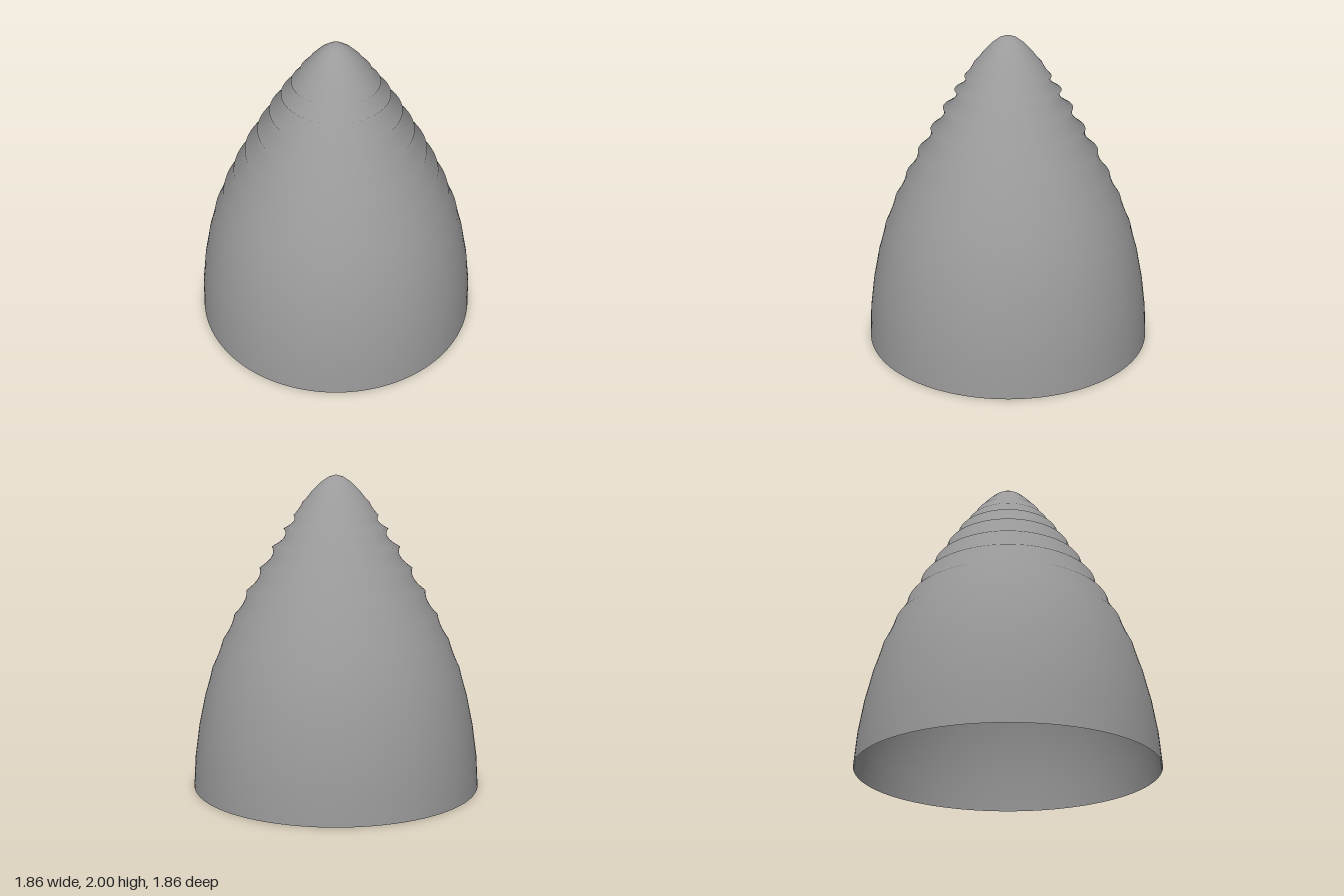
import * as THREE from 'three';

// Dome rings from the open rim to the tip: radius, height, and the twist in
// degrees of the band above the ring (twist pinches the band into a waist)
const RINGS = [
  [0.93, 0, 0], [0.918, 0.2, 2], [0.89, 0.4, 4], [0.85, 0.59, 8],
  [0.8, 0.77, 14], [0.73, 0.95, 21], [0.655, 1.11, 30], [0.575, 1.265, 39],
  [0.49, 1.41, 46], [0.41, 1.545, 54], [0.335, 1.66, 52], [0.272, 1.745, 27],
  [0.215, 1.825, 20], [0.155, 1.895, 8], [0.1, 1.95, 0], [0.05, 1.985, 0], [0, 2, 0],
];
const STEPS = 10;
const SEGMENTS = 128;

// Outward normal of the smooth dome at a ring, in the profile plane
function ringNormal(i) {
  if (i === RINGS.length - 1) return new THREE.Vector2(0, 1);
  const a = RINGS[Math.max(i - 1, 0)];
  const b = RINGS[i + 1];
  return new THREE.Vector2(b[1] - a[1], a[0] - b[0]).normalize();
}

function createShell() {
  const points = [];
  const normals = [];
  for (let i = 0; i < RINGS.length - 1; i++) {
    const [r0, y0, twist] = RINGS[i];
    const [r1, y1] = RINGS[i + 1];
    const c = Math.cos(THREE.MathUtils.degToRad(twist));
    const last = i === RINGS.length - 2;
    for (let k = 0; k < STEPS + (last ? 1 : 0); k++) {
      const t = k / STEPS;
      const p = r0 * (1 - t);
      const q = r1 * t;
      // Radius along a straight line joining two turned rings
      const r = Math.sqrt(Math.max(0, p * p + q * q + 2 * p * q * c));
      points.push(new THREE.Vector2(r, y0 + (y1 - y0) * t));
      normals.push(ringNormal(i).lerp(ringNormal(i + 1), t).normalize());
    }
  }
  const geometry = new THREE.LatheGeometry(points, SEGMENTS);

  // Shade the ribs with the normals of the smooth dome
  const attr = geometry.attributes.normal;
  for (let v = 0; v < attr.count; v++) {
    const n = normals[v % points.length];
    const phi = (Math.floor(v / points.length) / SEGMENTS) * Math.PI * 2;
    attr.setXYZ(v, n.x * Math.sin(phi), n.y, n.x * Math.cos(phi));
  }
  return geometry;
}

export function createModel() {
  const model = new THREE.Group();
  model.name = 'ribbedDome';
  const material = new THREE.MeshStandardMaterial({ color: 0x9a9a9a, side: THREE.DoubleSide });
  const shell = new THREE.Mesh(createShell(), material);
  shell.name = 'domeShell';
  model.add(shell);
  return model;
}
